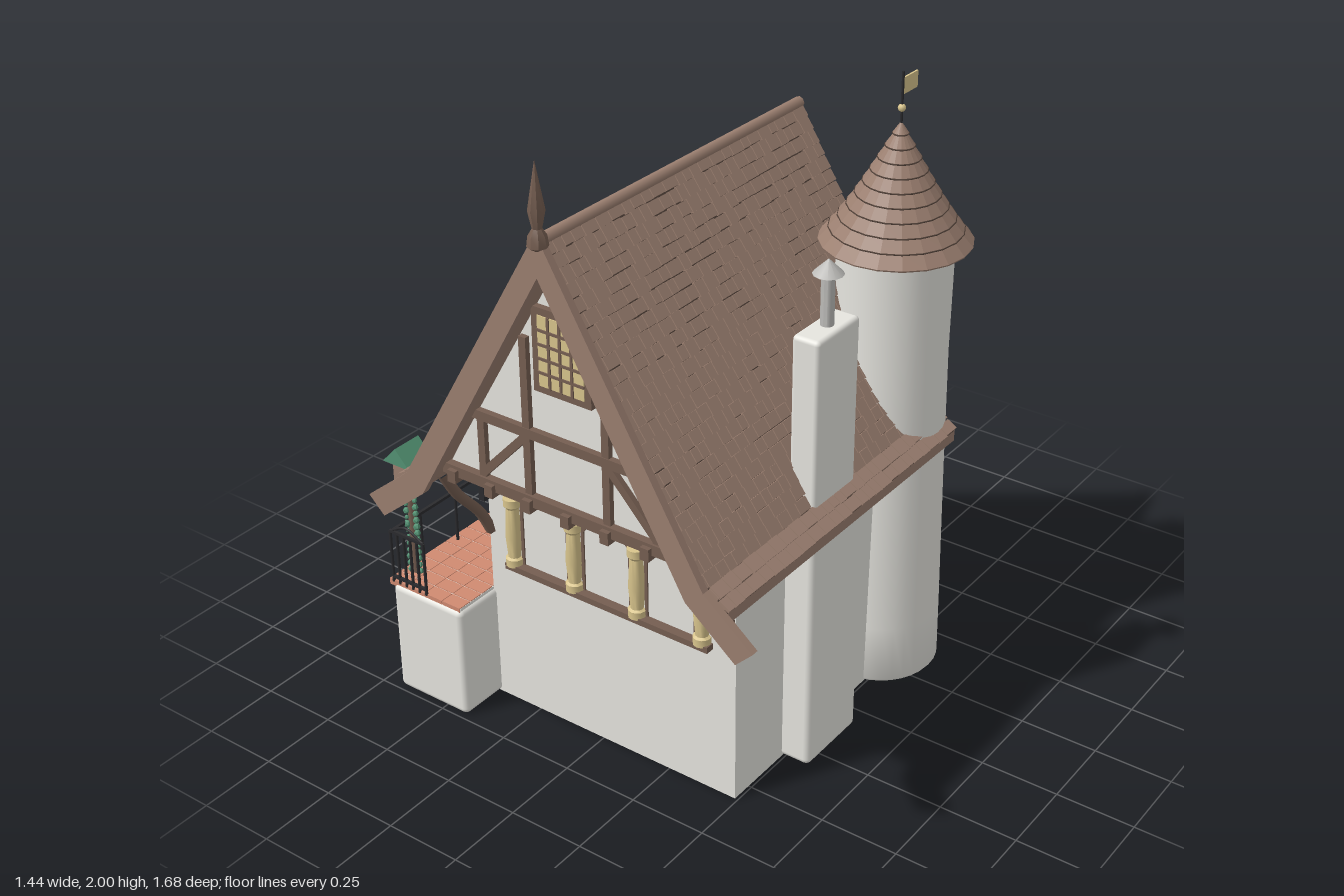
import * as THREE from 'three';
import { mergeGeometries, toCreasedNormals } from 'three/addons/utils/BufferGeometryUtils.js';
import { RoundedBoxGeometry } from 'three/addons/geometries/RoundedBoxGeometry.js';

const V = (x, y, z) => new THREE.Vector3(x, y, z);
const CX = 0.03; // ridge line in x

function paint(name, color) {
  const m = new THREE.MeshStandardMaterial({ color });
  m.name = name;
  return m;
}

export function createModel() {
  const root = new THREE.Group();
  root.name = 'cottage';
  const plaster = paint('plaster', 0xe6e5df), roofBrown = paint('roof brown', 0x9b7f70), timber = paint('timber', 0x755e51),
    iron = paint('iron', 0x2b2b2e), clay = paint('terracotta', 0xd08a71), green = paint('green', 0x549374),
    blue = paint('blue', 0x53789a), gold = paint('straw yellow', 0xd9c58d), stone = paint('stone grey', 0xbdbcb9),
    shade = paint('dark brown', 0x53433a);
  let seed = 7;
  const rnd = () => (seed = (seed * 16807) % 2147483647) / 2147483647;

  const add = (name, geo, mat) => {
    const m = new THREE.Mesh(geo, mat);
    m.name = name;
    root.add(m);
    return m;
  };
  // boxes and rounded boxes are given by their min and max corners
  const boxGeo = (x0, x1, y0, y1, z0, z1) => new THREE.BoxGeometry(x1 - x0, y1 - y0, z1 - z0)
    .translate((x0 + x1) / 2, (y0 + y1) / 2, (z0 + z1) / 2);
  const box = (name, mat, ...b) => add(name, boxGeo(...b), mat);
  const soft = (name, mat, r, x0, x1, y0, y1, z0, z1) => add(name, new RoundedBoxGeometry(x1 - x0, y1 - y0, z1 - z0, 3, r)
    .translate((x0 + x1) / 2, (y0 + y1) / 2, (z0 + z1) / 2), mat);
  const beam = (name, mat, a, b, w) => {
    const m = add(name, new THREE.BoxGeometry(w, w, a.distanceTo(b)), mat);
    m.position.copy(a).lerp(b, 0.5);
    m.lookAt(b);
  };
  const tube = (name, mat, pts, r) => add(name, new THREE.TubeGeometry(new THREE.CatmullRomCurve3(pts), 24, r, 6), mat);
  const lathe = (name, mat, pts, n, x, z, crease = 0.6) => add(name, toCreasedNormals(
    new THREE.LatheGeometry(pts.map(p => new THREE.Vector2(...p)), n), crease).translate(x, 0, z), mat);
  const poly = pts => new THREE.Shape(pts.map(p => new THREE.Vector2(...p)));
  const extrude = (shape, depth) => new THREE.ExtrudeGeometry(shape, { depth, bevelEnabled: false, curveSegments: 16 });
  const front = (name, mat, shape, z0, z1) => add(name, extrude(shape, z1 - z0).translate(0, 0, z0), mat);
  // shape drawn in (z, y), filling x0..x1
  const side = (name, mat, shape, x0, x1, z = 0) => add(name, extrude(shape, x1 - x0).rotateY(-Math.PI / 2).translate(x1, 0, z), mat);
  const arch = (w, base, top, Kind = THREE.Shape) => {
    const s = new Kind(), r = w / 2;
    s.moveTo(-r, base); s.lineTo(r, base); s.lineTo(r, top - r);
    s.absarc(0, top - r, r, 0, Math.PI, false);
    s.lineTo(-r, base);
    return s;
  };

  // hollow lower storey and the gabled upper storey that juts out in front
  const plan = poly([[-0.42, -0.57], [0.49, -0.57], [0.49, 0.37], [-0.42, 0.37]]);
  plan.holes.push(poly([[-0.36, -0.51], [0.43, -0.51], [0.43, 0.31], [-0.36, 0.31]]));
  add('lowerWalls', extrude(plan, 0.88).rotateX(-Math.PI / 2), plaster);
  box('cellarCeiling', clay, -0.37, 0.44, 0.37, 0.39, -0.32, 0.52);
  front('gableStorey', plaster, poly([[-0.42, 0.87], [0.49, 0.87], [0.49, 0.91], [CX, 1.72], [-0.42, 0.91]]), -0.37, 0.72);

  // roof: steep slope with a flared eave, cut short on the left above the entrance
  const full = [[0, 1.765], [0.51, 0.9], [0.59, 0.84]], cut = [[0, 1.765], [0.48, 0.951]];
  const slab = (s, z0, z1, top, under) => {
    const place = pts => poly(pts.map(([u, y]) => [CX + s * u, y]));
    front('roofSlab', roofBrown, place([...top, ...under]), z0, z1);
    front('shingleUnderlay', shade, place([...top.map(([u, y]) => [u, y + 0.006]), ...[...top].reverse()]), z0 + 0.002, z1 - 0.002);
  };
  const eave = [[0.59, 0.805], [0.49, 0.845], [0, 1.69]];
  slab(1, -0.4, 0.8, full, eave);
  slab(-1, -0.4, 0.04, full, eave);
  slab(-1, 0.37, 0.8, full, eave);
  slab(-1, 0.04, 0.37, cut, [[0.48, 0.865], [0, 1.69]]);
  const steep = Math.hypot(0.51, 0.865), total = steep + 0.1, rows = 26, tiles = [];
  for (const s of [-1, 1]) for (let i = 0; i < rows; i++) {
    const d = (i + 0.5) * total / rows, lower = d > steep, k = lower ? (d - steep) / 0.1 : d / steep;
    const u = lower ? 0.51 + 0.08 * k : 0.51 * k, y = lower ? 0.9 - 0.06 * k : 1.765 - 0.865 * k;
    const ang = lower ? Math.atan2(0.06, 0.08) : Math.atan2(0.865, 0.51);
    for (let z = -0.4; z < 0.795;) {
      const w = Math.min(0.03 + 0.03 * rnd(), 0.8 - z), gone = s < 0 && u > 0.47 && z + w > 0.04 && z < 0.37;
      if (!gone) tiles.push(new THREE.BoxGeometry(total / rows + 0.003 - 0.009 * rnd(), 0.01, w - 0.003)
        .rotateZ(-s * (ang - 0.1)).translate(CX + s * (u + 0.006), y + 0.006, z + w / 2));
      z += w;
    }
  }
  add('roofShingles', mergeGeometries(tiles), roofBrown);
  add('ridgeCap', new THREE.CylinderGeometry(0.018, 0.018, 1.21, 8).rotateX(Math.PI / 2).translate(CX, 1.772, 0.205), roofBrown);
  for (const s of [-1, 1]) front('bargeBoard', roofBrown, poly([[0, 1.8], [0.53, 0.895], [0.69, 0.765], [0.635, 0.71],
    [0.47, 0.845], [0, 1.67]].map(([a, y]) => [CX + s * a, y])), 0.8, 0.825);
  lathe('gableFinial', timber, [[0, 1.74], [0.03, 1.76], [0.026, 1.79], [0.014, 1.81], [0.024, 1.86], [0.012, 1.93], [0, 2]], 8, CX, 0.815);

  // gable timber frame
  const zt = 0.725;
  box('jettyBeam', timber, -0.43, 0.5, 0.885, 0.92, 0.7, 0.745);
  box('collarBeam', timber, -0.33, 0.39, 1.105, 1.135, 0.7, 0.74);
  for (let i = 0; i < 7; i++) box('joistEnd', timber, -0.4 + i * 0.14, -0.37 + i * 0.14, 0.87, 0.91, 0.56, 0.76);
  for (const s of [-1, 1]) {
    const p = (u, y, z = zt) => V(CX + s * u, y, z);
    beam('innerStud', timber, p(0.14, 0.92), p(0.14, 1.42), 0.025);
    beam('outerStud', timber, p(0.31, 0.92), p(0.31, 1.11), 0.025);
    beam('diagonalBrace', timber, p(0.31, 0.93), p(0.15, 1.1), 0.025);
    tube('jettyBracket', timber, [p(0.445, 0.6, 0.57), p(0.45, 0.68, 0.61), p(0.455, 0.79, 0.7), p(0.46, 0.88, 0.75)], 0.017);
    box('hangingLantern', iron, CX + s * 0.39 - 0.01, CX + s * 0.39 + 0.01, 0.77, 0.86, 0.64, 0.665);
  }
  // gable window
  box('windowFrame', timber, CX - 0.1, CX + 0.1, 1.27, 1.53, 0.71, 0.74);
  box('windowPanes', gold, CX - 0.078, CX + 0.078, 1.292, 1.508, 0.74, 0.743);
  for (let i = 1; i < 4; i++) box('windowBar', timber, CX - 0.082 + i * 0.039, CX - 0.074 + i * 0.039, 1.29, 1.51, 0.742, 0.747);
  for (let i = 1; i < 5; i++) box('windowBar', timber, CX - 0.08, CX + 0.08, 1.288 + i * 0.0432, 1.296 + i * 0.0432, 0.742, 0.747);

  // blind colonnade with a garland above
  box('colonnadeSill', timber, -0.34, 0.41, 0.505, 0.525, 0.56, 0.6);
  box('colonnadeLintel', plaster, -0.36, 0.43, 0.76, 0.85, 0.56, 0.59);
  box('lintelTrim', timber, -0.42, 0.49, 0.852, 0.868, 0.56, 0.6);
  for (let i = 0; i < 4; i++) {
    const x = -0.317 + i * 0.232;
    lathe('column', gold, [[0, 0.52], [0.028, 0.52], [0.028, 0.545], [0.02, 0.55], [0.026, 0.62], [0.02, 0.72], [0.028, 0.73], [0.028, 0.755], [0, 0.755]], 12, x, 0.58);
    if (i < 3) {
      const frame = poly([[x + 0.024, 0.52], [x + 0.208, 0.52], [x + 0.208, 0.765], [x + 0.024, 0.765]]);
      frame.holes.push(poly([[0.034, 0.525], [0.198, 0.525], [0.198, 0.73], [0.178, 0.755], [0.054, 0.755], [0.034, 0.73]].map(([a, y]) => [x + a, y])));
      front('openingFrame', timber, frame, 0.565, 0.575);
    }
  }
  for (let i = 0; i < 38; i++) add('garlandLeaf', new THREE.IcosahedronGeometry(0.0095, 0)
    .translate(-0.34 + i * 0.0203, 0.79 + 0.007 * Math.sin(i * 1.3), 0.593), i % 6 === 2 ? clay : i % 6 === 5 ? gold : green);

  // round tower with stepped cone roof, slit window and flag
  lathe('tower', plaster, [[0, 0], [0.183, 0], [0.192, 0.012], [0.189, 0.2], [0.179, 0.7], [0.173, 1.1], [0.176, 1.47], [0, 1.47]], 32, 0.43, -0.32, 0.8);
  const cone = [[0, 1.46], [0.228, 1.46]], steps = 10;
  const coneR = t => 0.2 * (1 - t) + 0.025 * (1 - t) ** 4, coneY = t => 1.465 + 0.365 * t;
  for (let i = 0; i < steps; i++) {
    const t = i / steps, n = (i + 1) / steps;
    cone.push([coneR(t) + 0.005, coneY(t)], [coneR(n), coneY(n)]);
    if (i) add('coneCourseLine', new THREE.TorusGeometry(coneR(t) + 0.0035, 0.0025, 4, 20).rotateX(Math.PI / 2)
      .translate(0.43, coneY(t), -0.32), shade);
  }
  lathe('towerRoof', roofBrown, cone, 20, 0.43, -0.32, 0.2);
  add('flagPole', new THREE.CylinderGeometry(0.004, 0.004, 0.17, 6).translate(0.43, 1.895, -0.32), iron);
  add('poleBall', new THREE.SphereGeometry(0.012, 10, 8).translate(0.43, 1.87, -0.32), gold);
  box('flag', gold, 0.427, 0.433, 1.91, 1.96, -0.398, -0.32);
  for (const [name, w, h, d, mat] of [['Frame', 0.045, 0.1, 0.02, timber], ['Pane', 0.03, 0.085, 0.025, iron]]) {
    const slit = add('towerWindow' + name, new THREE.BoxGeometry(w, h, d), mat);
    slit.position.set(0.304, 0.97, -0.446);
    slit.rotation.y = Math.PI * 1.25;
  }

  // chimney
  soft('chimneyBase', plaster, 0.02, 0.42, 0.585, 0, 0.83, 0.06, 0.325);
  soft('chimneyStack', plaster, 0.014, 0.478, 0.568, 0.8, 1.42, 0.088, 0.3);
  lathe('chimneyPipe', stone, [[0, 1.41], [0.02, 1.41], [0.02, 1.57], [0.045, 1.575], [0, 1.62]], 12, 0.522, 0.19);

  // terrace with tiled floor
  soft('terraceBase', plaster, 0.02, -0.69, -0.41, 0, 0.385, -0.2, 0.735);
  box('terraceSlab', plaster, -0.703, -0.42, 0.376, 0.392, -0.198, 0.724);
  const floor = [];
  for (let i = 0; i < 18; i++) for (let j = 0; j < 4; j++) {
    const x = -0.707 + j * 0.072, z = -0.2 + i * 0.0517;
    floor.push(boxGeo(x, x + 0.07, 0.374, 0.395, z, z + 0.0475));
  }
  add('terraceTiles', mergeGeometries(floor), clay);

  // stairs and sloping parapet
  for (let i = 0; i < 12; i++) box('stairStep', plaster, -0.68, -0.49, 0, (i + 1) * 0.0317, -0.8 + i * 0.05, -0.2);
  side('stairParapet', plaster, poly([[-0.815, 0], [-0.815, 0.015], [-0.2, 0.4], [-0.2, 0]]), -0.5, -0.445);

  // iron railings
  const rail = (x, z, y0, y1) => add('railPost', new THREE.CylinderGeometry(0.005, 0.005, y1 - y0, 6).translate(x, (y0 + y1) / 2, z), iron);
  const rx = -0.682;
  tube('stairHandrail', iron, [V(rx, 0.57, -0.2), V(rx, 0.385, -0.5), V(rx, 0.2, -0.8), V(rx, 0.18, -0.835), V(rx, 0.16, -0.83)], 0.006);
  beam('terraceHandrail', iron, V(rx, 0.575, -0.2), V(rx, 0.575, 0.72), 0.01);
  rail(rx, -0.8, 0, 0.2);
  for (let i = 0; i < 6; i++) rail(rx, -0.2 + i * 0.16, 0.39, 0.575);
  for (let i = 0; i < 6; i++) rail(-0.69 + i * 0.027, 0.725, 0.39, 0.575);
  for (const y of [0.41, 0.575]) beam('frontRail', iron, V(-0.69, y, 0.725), V(-0.555, y, 0.725), 0.009);
  tube('frontRailArch', iron, [V(-0.69, 0.575, 0.725), V(-0.622, 0.605, 0.725), V(-0.555, 0.575, 0.725)], 0.004);

  // cellar door and log store under the terrace
  for (const [z, w, top, mat] of [[0.09, 0.19, 0.3, green], [0.46, 0.23, 0.29, shade]]) {
    const ring = arch(w + 0.04, 0.005, top + 0.02);
    ring.holes.push(arch(w, 0.006, top, THREE.Path));
    side('archSurround', stone, ring, -0.708, -0.68, z);
    side('archInfill', mat, arch(w, 0.006, top), -0.696, -0.68, z);
  }
  for (const y of [0.07, 0.2]) box('doorHinge', iron, -0.701, -0.69, y, y + 0.014, 0.01, 0.13);
  for (let r = 0; r < 5; r++) for (let i = 0; i < (r < 4 ? 4 : 2); i++) add('logEnd', new THREE.CylinderGeometry(0.021, 0.021, 0.03, 8)
    .rotateZ(Math.PI / 2).translate(-0.702, 0.035 + r * 0.046, (r < 4 ? 0.388 : 0.436) + i * 0.048), r + i & 1 ? timber : shade);

  // entrance: blue double door, porch roof and arched dormer
  box('doorFrame', timber, -0.43, -0.41, 0.39, 0.745, 0.11, 0.35);
  for (const z of [0.125, 0.232]) {
    box('doorLeaf', blue, -0.436, -0.42, 0.395, 0.73, z, z + 0.104);
    for (const y of [0.45, 0.66]) box('doorHinge', iron, -0.439, -0.43, y, y + 0.01, z, z + 0.08);
  }
  add('doorColumn', new THREE.CylinderGeometry(0.012, 0.014, 0.36, 10).translate(-0.425, 0.57, 0.085), gold);
  side('porchRoof', roofBrown, poly([[0.035, 0.77], [0.205, 0.85], [0.375, 0.77], [0.375, 0.795], [0.205, 0.88], [0.035, 0.795]]), -0.56, -0.42);
  for (const z of [0.07, 0.34]) tube('porchBracket', timber, [V(-0.425, 0.66, z), V(-0.46, 0.71, z), V(-0.54, 0.785, z)], 0.012);
  box('dormerBase', plaster, -0.448, -0.4, 0.8, 0.94, 0.042, 0.368);
  side('archedDormer', plaster, arch(0.25, 0.88, 1.17), -0.452, -0.36, 0.205);
  side('dormerWindowFrame', timber, arch(0.09, 0.99, 1.13), -0.457, -0.45, 0.205);
  side('dormerWindowPane', iron, arch(0.065, 1, 1.118), -0.46, -0.45, 0.205);
  add('dormerSpike', new THREE.CylinderGeometry(0.005, 0.005, 0.16, 6).translate(-0.385, 1.24, 0.19), iron);
  add('spikeBall', new THREE.SphereGeometry(0.011, 8, 6).translate(-0.385, 1.2, 0.19), gold);

  // small gabled dormer higher on the slope
  side('smallDormer', roofBrown, poly([[-0.25, 1.325], [0.04, 1.325], [-0.105, 1.43]]), -0.318, -0.17);

  // bird house on an ivy post
  add('ivyPost', new THREE.CylinderGeometry(0.012, 0.014, 0.36, 8).translate(-0.667, 0.565, 0.648), timber);
  for (let i = 0; i < 40; i++) add('ivyLeaf', new THREE.IcosahedronGeometry(0.007 + 0.006 * rnd(), 0)
    .translate(-0.667 + 0.017 * Math.cos(i * 2.1), 0.4 + i * 0.0078, 0.648 + 0.017 * Math.sin(i * 2.1)), green);
  box('birdHouse', roofBrown, -0.7, -0.634, 0.73, 0.81, 0.615, 0.68);
  front('birdHouseRoof', green, poly([[-0.72, 0.8], [-0.614, 0.8], [-0.667, 0.857]]), 0.597, 0.7);

  // lantern hung at the rear corner
  beam('lanternArm', iron, V(-0.42, 0.88, -0.39), V(-0.55, 0.88, -0.39), 0.012);
  beam('lanternStay', iron, V(-0.42, 0.8, -0.385), V(-0.5, 0.88, -0.39), 0.01);
  lathe('cornerLantern', iron, [[0, 0.765], [0.022, 0.765], [0.028, 0.84], [0.036, 0.845], [0, 0.885]], 6, -0.54, -0.39, 0.2);
  return root;
}
